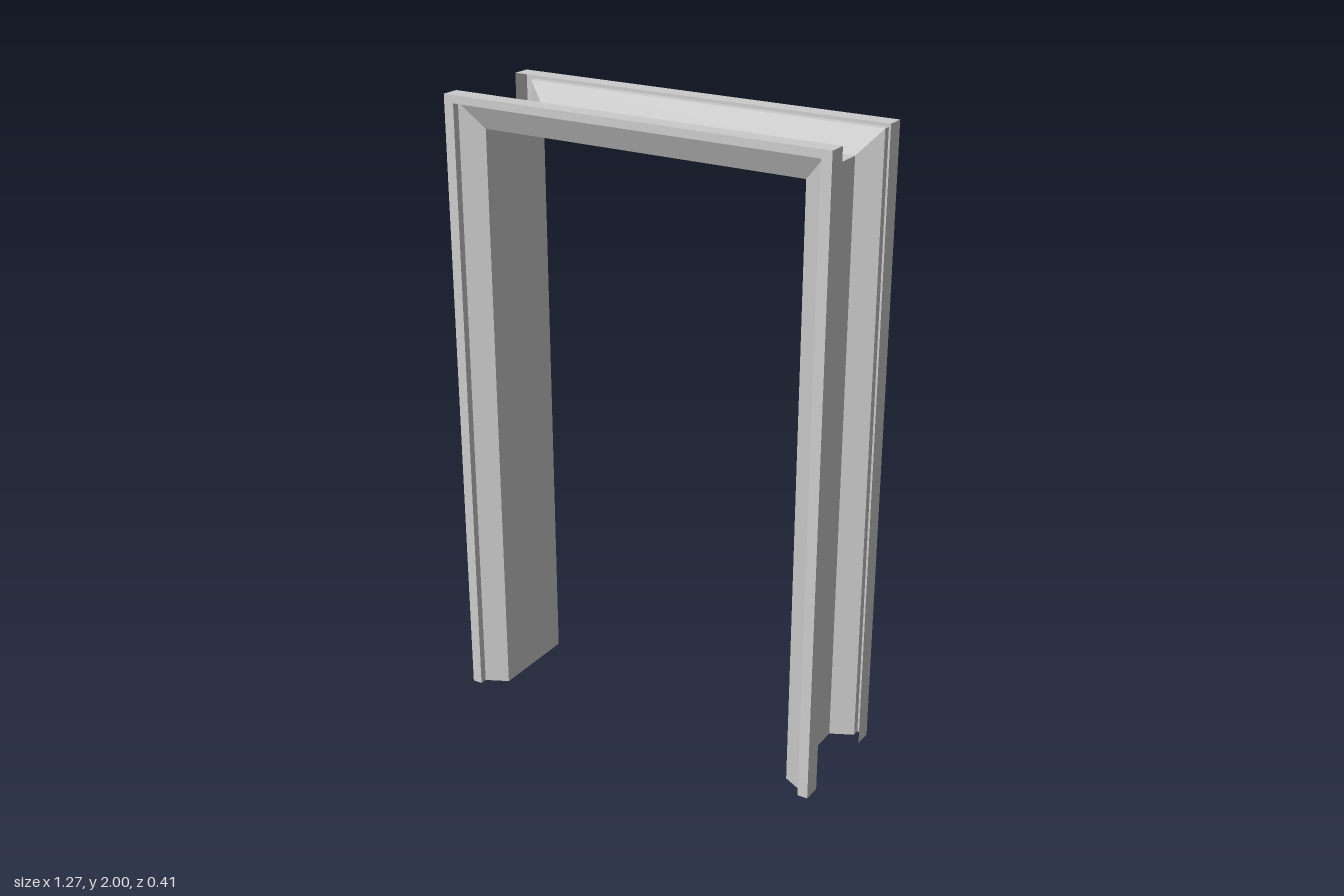
import * as THREE from 'three';

const HALF = 0.533;   // half width of the opening
const TOP = 1.897;    // height of the opening

// Thin folded sheet carried up one jamb, across the head and down the other,
// mitred at the corners. Profile rows: [offset on jambs, offset on head, z].
function sweepSheet(name, profile, material) {
  const path = ([side, head, z]) => [
    [-HALF - side, 0, z],
    [-HALF - side, TOP + head, z],
    [HALF + side, TOP + head, z],
    [HALF + side, 0, z],
  ];
  const positions = [];
  for (let i = 0; i < profile.length - 1; i++) {
    const a = path(profile[i]);
    const b = path(profile[i + 1]);
    for (let j = 0; j < 3; j++) {
      positions.push(...a[j], ...b[j], ...b[j + 1], ...a[j], ...b[j + 1], ...a[j + 1]);
    }
  }
  const geometry = new THREE.BufferGeometry();
  geometry.setAttribute('position', new THREE.Float32BufferAttribute(positions, 3));
  geometry.computeVertexNormals();
  const mesh = new THREE.Mesh(geometry, material);
  mesh.name = name;
  return mesh;
}

export function createModel() {
  const group = new THREE.Group();
  group.name = 'doorFrame';
  const material = new THREE.MeshStandardMaterial({
    color: 0xcccccc, flatShading: true, side: THREE.DoubleSide,
  });

  // Trim: sloped face, small step, flat outer band, return flange (open behind)
  const trim = [
    [0, 0, 0.146],
    [0.071, 0.078, 0.182],
    [0.071, 0.078, 0.205],
    [0.104, 0.103, 0.205],
    [0.104, 0.103, 0.146],
  ];
  const backTrim = trim.map(([s, h, z]) => [s, h, -z]).reverse();

  group.add(sweepSheet('frontTrim', trim, material));
  group.add(sweepSheet('backTrim', backTrim, material));

  // Lining through the wall thickness
  group.add(sweepSheet('lining', [[0, 0, -0.146], [0, 0, 0.146]], material));

  return group;
}
